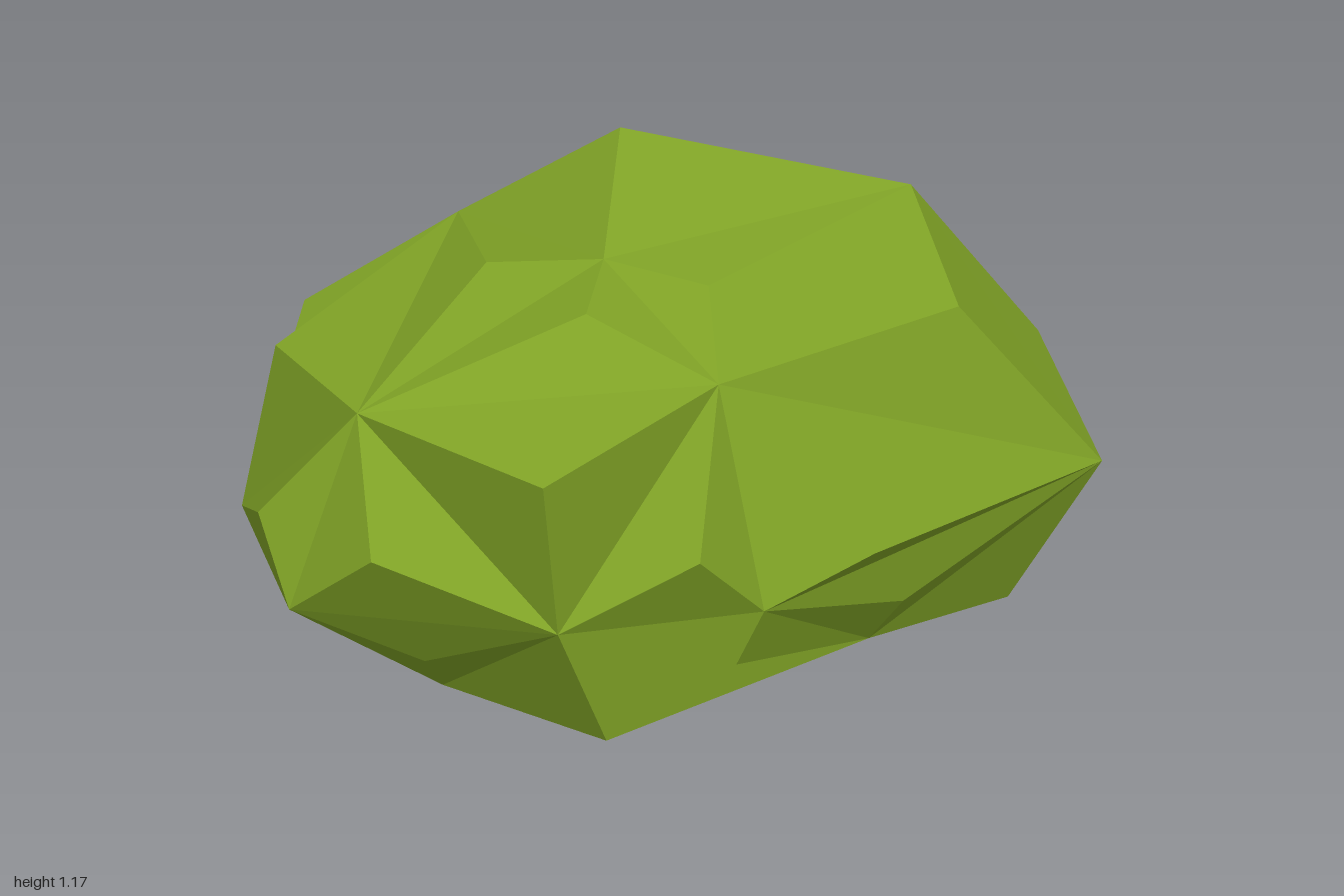
import * as THREE from 'three';

// Foliage hull: an octahedron whose edges are split at a joint, giving four
// panels per octant; every panel is then raised to its own leafy peak.
const CENTRE = [-0.12, 0.38, 0.045];

// Distance from the centre to the six tips, as [negative, positive]
const REACH = [[0.88, 1.05], [0.375, 0.635], [0.755, 0.635]];

// Joints between neighbouring tips, keyed by the signs of x, y, z
const JOINTS = {
  '++0': [0.74, 0.94, 0.045], '-+0': [-0.81, 0.83, 0.045],
  '+-0': [0.77, 0.1, 0.045], '--0': [-0.57, 0.05, 0.045],
  '0++': [-0.12, 0.89, 0.5], '0+-': [-0.12, 0.885, -0.53],
  '0-+': [0.3, 0.1, 0.5], '0--': [-0.12, 0.05, -0.4],
  '+0+': [0.96, 0.35, 0.49], '+0-': [0.54, 0.43, -0.53],
  '-0+': [-0.57, 0.38, 0.5], '-0-': [-0.81, 0.39, -0.41],
};

// Peaks in each octant: beside the x, y and z tips, then the middle one
const PEAKS = {
  '+++': [[1.0, 0.54, 0.18], [0.05, 0.97, 0.22], [0.13, 0.49, 0.765], [0.63, 0.81, 0.39]],
  '++-': [[0.93, 0.63, -0.24], [0.1, 1.18, -0.2], [0.08, 0.617, -0.735], [0.49, 0.845, -0.49]],
  '+-+': [[0.93, 0.25, 0.15], [0.32, 0.05, 0.22], [0.34, 0.22, 0.58], [0.76, 0.02, 0.4]],
  '+--': [[0.85, 0.21, -0.14], [0.1, 0.045, -0.15], [0.03, 0.22, -0.57], [0.46, 0.11, -0.39]],
  '-++': [[-0.93, 0.58, 0.27], [-0.3, 1.01, 0.23], [-0.31, 0.57, 0.695], [-0.64, 0.8, 0.54]],
  '-+-': [[-0.97, 0.55, -0.12], [-0.31, 0.98, -0.15], [-0.38, 0.63, -0.77], [-0.73, 0.79, -0.39]],
  '--+': [[-0.73, 0.23, 0.2], [-0.15, 0.04, 0.25], [-0.17, 0.24, 0.64], [-0.42, 0.05, 0.48]],
  '---': [[-0.8, 0.22, -0.11], [-0.3, 0.03, -0.12], [-0.23, 0.19, -0.5], [-0.55, 0.14, -0.28]],
};

// Tip of the hull along one axis
function tip(axis, sign) {
  const p = [...CENTRE];
  p[axis] += sign === '+' ? REACH[axis][1] : -REACH[axis][0];
  return p;
}

function foliageGeometry() {
  const positions = [];
  for (const [key, peaks] of Object.entries(PEAKS)) {
    const [sx, sy, sz] = key;
    const mirrored = [...key].filter((s) => s === '-').length % 2 === 1;
    const x = tip(0, sx), y = tip(1, sy), z = tip(2, sz);
    const xy = JOINTS[sx + sy + '0'];
    const yz = JOINTS['0' + sy + sz];
    const zx = JOINTS[sx + '0' + sz];

    // Three panels at the tips and one in the middle
    const panels = [[x, xy, zx], [y, yz, xy], [z, zx, yz], [xy, yz, zx]];
    panels.forEach((panel, i) => {
      for (let k = 0; k < 3; k++) {
        const a = panel[k], b = panel[(k + 1) % 3];
        positions.push(...(mirrored ? [...b, ...a] : [...a, ...b]), ...peaks[i]);
      }
    });
  }
  const geometry = new THREE.BufferGeometry();
  geometry.setAttribute('position', new THREE.Float32BufferAttribute(positions, 3));
  geometry.computeVertexNormals();
  return geometry;
}

export function createModel() {
  const leafGreen = new THREE.MeshStandardMaterial({ color: 0x80a326, flatShading: true });
  leafGreen.name = 'leafGreen';

  const foliage = new THREE.Mesh(foliageGeometry(), leafGreen);
  foliage.name = 'foliage';

  const bush = new THREE.Group();
  bush.name = 'bush';
  bush.add(foliage);
  return bush;
}
